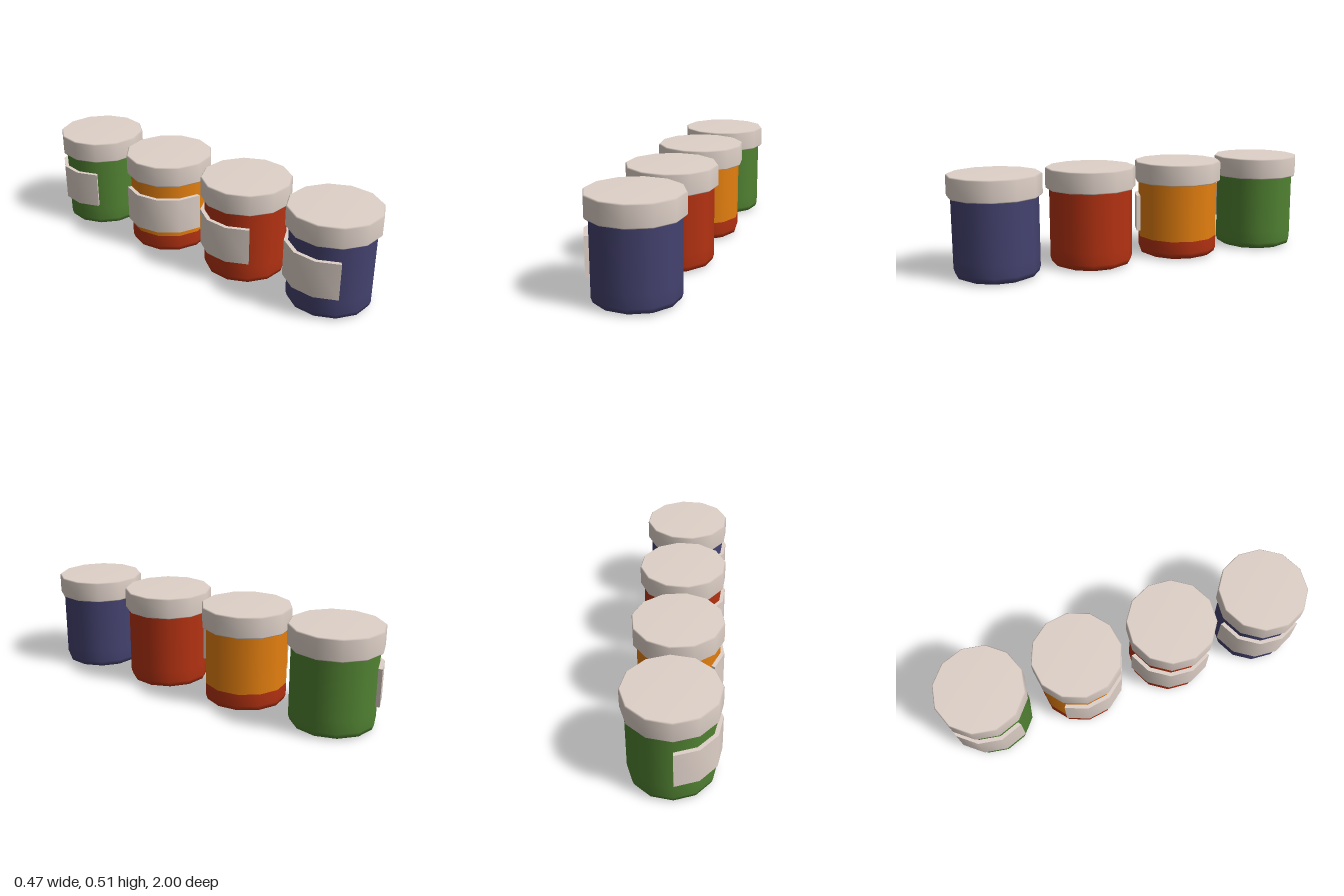
import * as THREE from 'three';
import { toCreasedNormals } from 'three/addons/utils/BufferGeometryUtils.js';

const SIDES = 12;
const mat = (name, color) => {
  const m = new THREE.MeshStandardMaterial({ color });
  m.name = name;
  return m;
};

export function createModel() {
  const cream = mat('cream', 0xdfd1c8);
  const blue = mat('navy blue', 0x44426f);
  const red = mat('brick red', 0xb43212);
  const orange = mat('orange', 0xe47f10);
  const green = mat('leaf green', 0x518232);

  const lathe = (pts) =>
    new THREE.LatheGeometry(pts.map(([r, y]) => new THREE.Vector2(r, y)), SIDES);
  const mesh = (name, geometry, material) => {
    const m = new THREE.Mesh(geometry, material);
    m.name = name;
    return m;
  };

  // body: lower part with a bevelled foot, upper straight wall up into the lid
  const split = 0.1, bodyR = 0.214;
  const lowerGeo = lathe([[0, 0], [0.178, 0], [0.206, 0.012], [bodyR, 0.036], [bodyR, split]]);
  const upperGeo = lathe([[bodyR, split], [bodyR, 0.41]]);

  // lid: wide disc with small bevels
  const lidGeo = lathe([
    [0.2, 0.4], [0.228, 0.4], [0.233, 0.406], [0.233, 0.503], [0.227, 0.51], [0, 0.51],
  ]);

  // label: raised band wrapped round four of the twelve sides
  const ring = (r) => [-30, 0, 30, 60, 90].map((d) => {
    const a = THREE.MathUtils.degToRad(d);
    return new THREE.Vector2(-r * Math.cos(a), r * Math.sin(a));
  });
  const band = new THREE.Shape([...ring(0.235), ...ring(0.213).reverse()]);
  const labelGeo = toCreasedNormals(
    new THREE.ExtrudeGeometry(band, { depth: 0.192, bevelEnabled: false })
      .rotateX(-Math.PI / 2).translate(0, 0.133, 0),
    THREE.MathUtils.degToRad(40));

  const model = new THREE.Group();
  model.name = 'jarRow';

  // four jars in a row, each with its own colours and turn
  const jars = [
    ['blueJar', 0.766, 10, blue, blue],
    ['redJar', 0.257, 10, red, red],
    ['orangeJar', -0.257, 53, red, orange],
    ['greenJar', -0.768, 5, green, green],
  ];
  for (const [name, z, turn, lower, upper] of jars) {
    const jar = new THREE.Group();
    jar.name = name;
    jar.add(
      mesh('bodyBase', lowerGeo, lower),
      mesh('bodyWall', upperGeo, upper),
      mesh('lid', lidGeo, cream),
      mesh('label', labelGeo, cream));
    jar.position.z = z;
    jar.rotation.y = THREE.MathUtils.degToRad(turn);
    model.add(jar);
  }
  return model;
}
